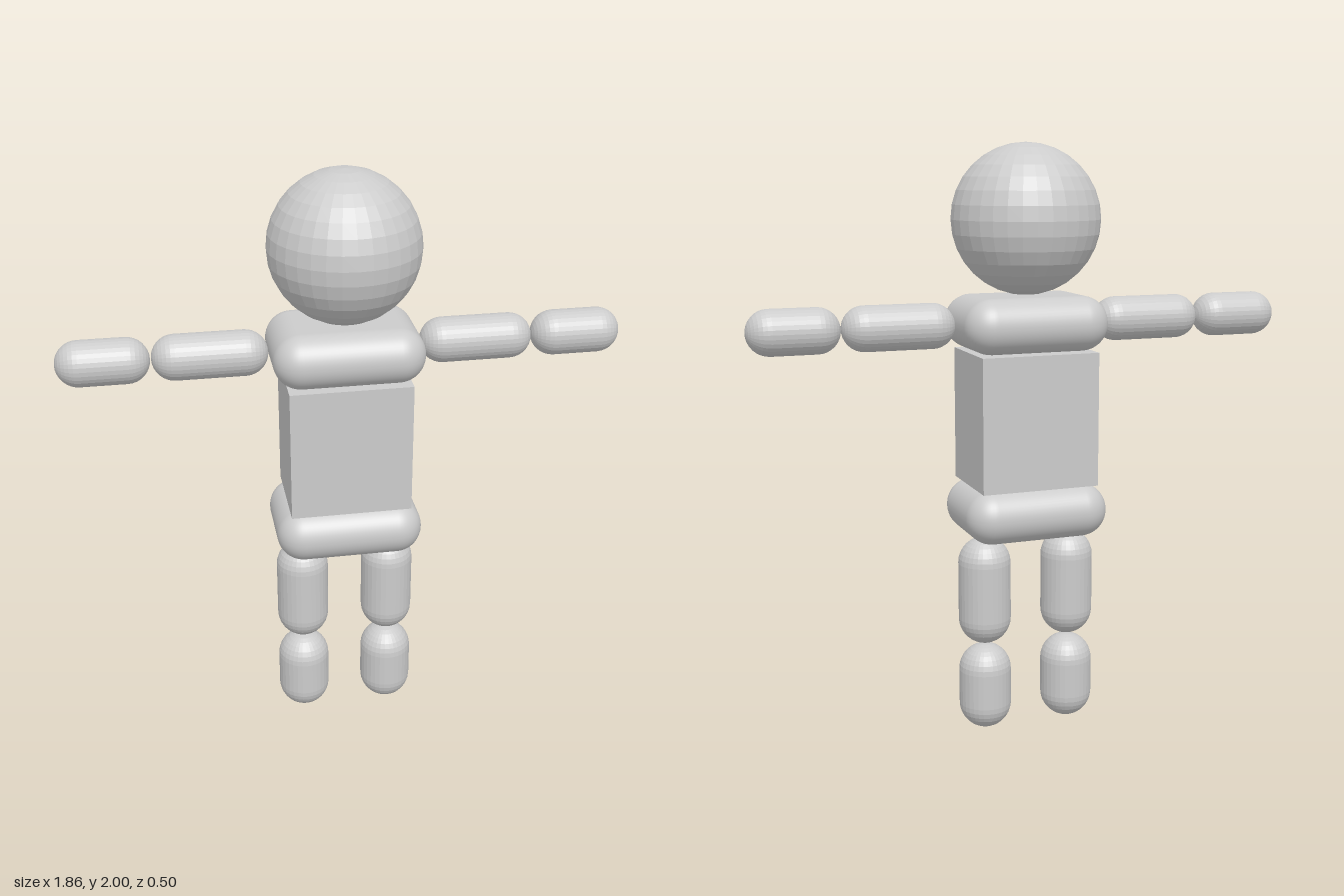
import * as THREE from 'three';
import { RoundedBoxGeometry } from 'three/addons/geometries/RoundedBoxGeometry.js';

export function createModel() {
  const model = new THREE.Group();
  model.name = 'figure';
  const smooth = new THREE.MeshStandardMaterial({ color: 0xcccccc });
  const faceted = new THREE.MeshStandardMaterial({ color: 0xcccccc, flatShading: true });

  const add = (name, geometry, material, x, y) => {
    const mesh = new THREE.Mesh(geometry, material);
    mesh.name = name;
    mesh.position.set(x, y, 0);
    model.add(mesh);
    return mesh;
  };

  // Capsule measured by its overall length, standing along y
  const capsule = (radius, length) =>
    new THREE.CapsuleGeometry(radius, length - 2 * radius, 8, 32);

  // Head and trunk
  add('head', new THREE.SphereGeometry(0.248, 32, 16), faceted, 0, 1.752);
  add('shoulders', new RoundedBoxGeometry(0.496, 0.182, 0.376, 6, 0.09), smooth, 0, 1.413);
  add('torso', new THREE.BoxGeometry(0.406, 0.451, 0.304), faceted, 0, 1.0935);
  add('hips', new RoundedBoxGeometry(0.496, 0.182, 0.376, 6, 0.09), smooth, 0, 0.778);

  // Limbs, mirrored left and right
  for (const [side, s] of [['left', 1], ['right', -1]]) {
    const upperArm = add(side + 'UpperArm', capsule(0.075, 0.376), faceted, s * 0.438, 1.413);
    const forearm = add(side + 'Forearm', capsule(0.075, 0.301), faceted, s * 0.779, 1.413);
    upperArm.rotation.z = forearm.rotation.z = -s * Math.PI / 2;

    add(side + 'Thigh', capsule(0.09, 0.376), faceted, s * 0.151, 0.496);
    add(side + 'Shin', capsule(0.09, 0.301), faceted, s * 0.151, 0.1505);
  }

  return model;
}
